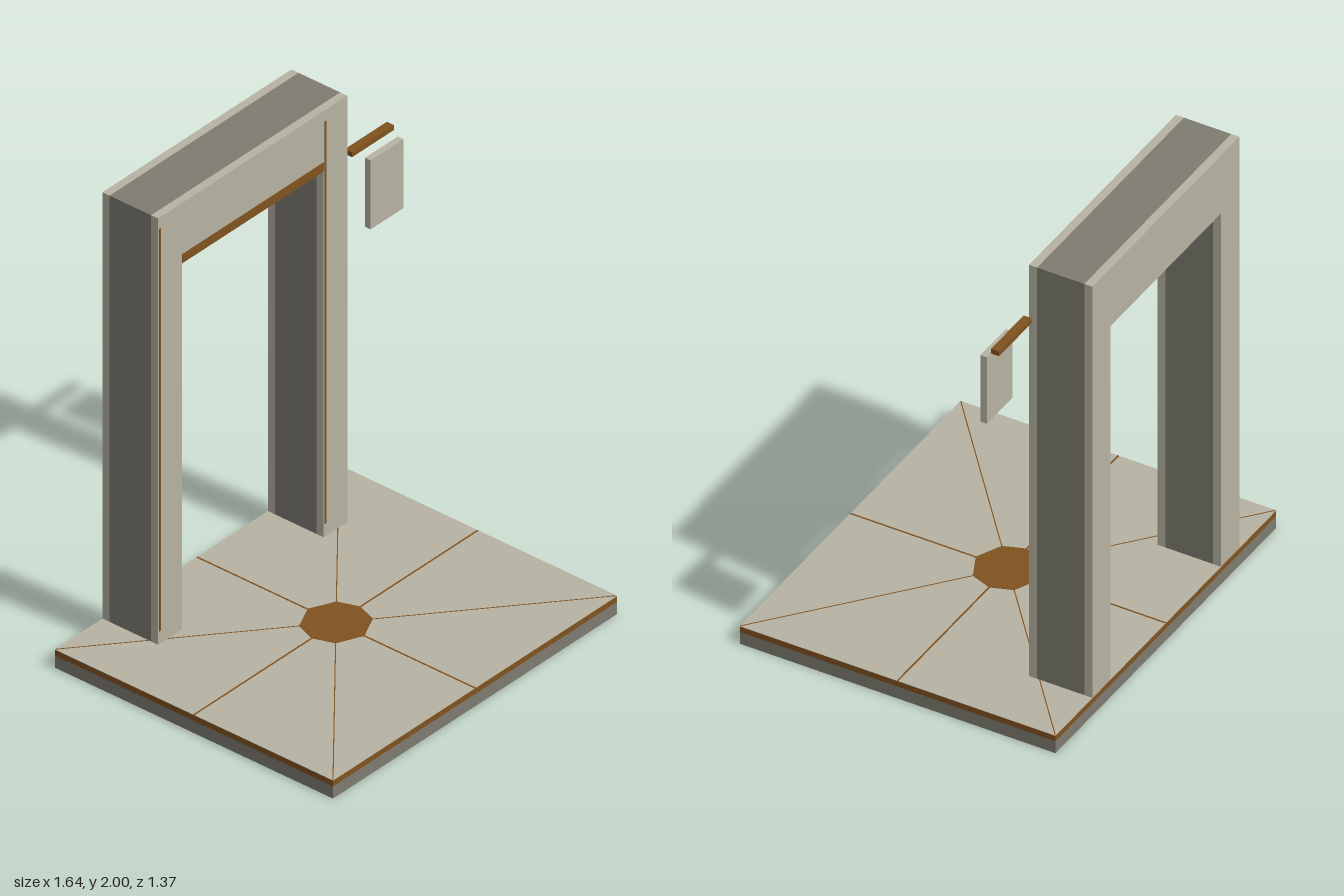
import * as THREE from 'three';

const flat = (name, color) => {
  const m = new THREE.MeshStandardMaterial({ color });
  m.name = name;
  return m;
};

export function createModel() {
  const stone = flat('pale stone', 0xb7b3a3);
  const core = flat('dark stone', 0x7e7b70);
  const bronze = flat('bronze', 0x80521f);
  const model = new THREE.Group();

  const add = (name, geometry, material, parent = model) => {
    const mesh = new THREE.Mesh(geometry, material);
    mesh.name = name;
    parent.add(mesh);
    return mesh;
  };

  // Box given by its low and high limits on each axis
  const box = (name, material, [x0, x1], [y0, y1], [z0, z1], parent) => {
    const mesh = add(name, new THREE.BoxGeometry(x1 - x0, y1 - y0, z1 - z0), material, parent);
    mesh.position.set((x0 + x1) / 2, (y0 + y1) / 2, (z0 + z1) / 2);
    return mesh;
  };

  // Layered floor slab
  const W = 0.822, D = 0.685, floorY = 0.082;
  const floor = new THREE.Group();
  floor.name = 'floor';
  model.add(floor);
  box('floorBase', core, [-W, W], [0, 0.055], [-D, D], floor);
  box('floorBand', bronze, [-W, W], [0.055, 0.08], [-D, D], floor);
  box('floorPaving', stone, [-W, W], [0.08, floorY], [-D, D], floor);

  // Eight inlay lines running from the centre to the edges and corners,
  // and an octagon whose corners lie on those lines
  const corner = Math.atan2(D, W);
  const rays = [0, corner, Math.PI / 2, Math.PI - corner].flatMap((a) => [a, a + Math.PI]);
  rays.sort((a, b) => a - b).forEach((a, i) => {
    const diagonal = i % 2 === 1;
    const end = diagonal ? Math.hypot(W, D) - 0.004 : i % 4 === 0 ? W : D;
    const line = add('floorInlay', new THREE.BoxGeometry(end - 0.13, 0.002, diagonal ? 0.004 : 0.007), bronze, floor);
    const mid = (end + 0.13) / 2;
    line.position.set(Math.cos(a) * mid, floorY, -Math.sin(a) * mid);
    line.rotation.y = a;
  });
  const octagon = new THREE.Shape(rays.map((a) => new THREE.Vector2(Math.cos(a) * 0.14, Math.sin(a) * 0.14)));
  const medallion = add('floorMedallion', new THREE.ExtrudeGeometry(octagon, { depth: 0.003, bevelEnabled: false }), bronze, floor);
  medallion.rotation.x = -Math.PI / 2;
  medallion.position.y = floorY - 0.001;

  // Gateway: a dark core between two pale facings
  const gate = new THREE.Group();
  gate.name = 'gateway';
  model.add(gate);
  const outline = new THREE.Shape([
    [-0.547, floorY], [-0.41, floorY], [-0.41, 1.73], [0.41, 1.73],
    [0.41, floorY], [0.547, floorY], [0.547, 2], [-0.547, 2],
  ].map(([x, y]) => new THREE.Vector2(x, y)));
  const layers = [
    ['backFacing', stone, -0.685, -0.65],
    ['gateCore', core, -0.65, -0.445],
    ['frontFacing', stone, -0.445, -0.41],
  ];
  for (const [name, material, z0, z1] of layers) {
    const geometry = new THREE.ExtrudeGeometry(outline, { depth: z1 - z0, bevelEnabled: false });
    add(name, geometry, material, gate).position.z = z0;
  }

  // Bronze trim on the front
  const trimZ = [-0.412, -0.408];
  box('lintelTrim', bronze, [-0.41, 0.41], [1.73, 1.77], trimZ, gate);
  for (const x of [-0.537, 0.42]) {
    box('pillarTrim', bronze, [x - 0.005, x + 0.005], [0.14, 1.95], trimZ, gate);
  }

  // Hanging sign beside the left pillar
  box('signBracket', bronze, [0.547, 0.79], [1.733, 1.755], [-0.422, -0.387]);
  box('signBoard', stone, [0.602, 0.792], [1.4, 1.71], [-0.37, -0.342]);

  return model;
}
